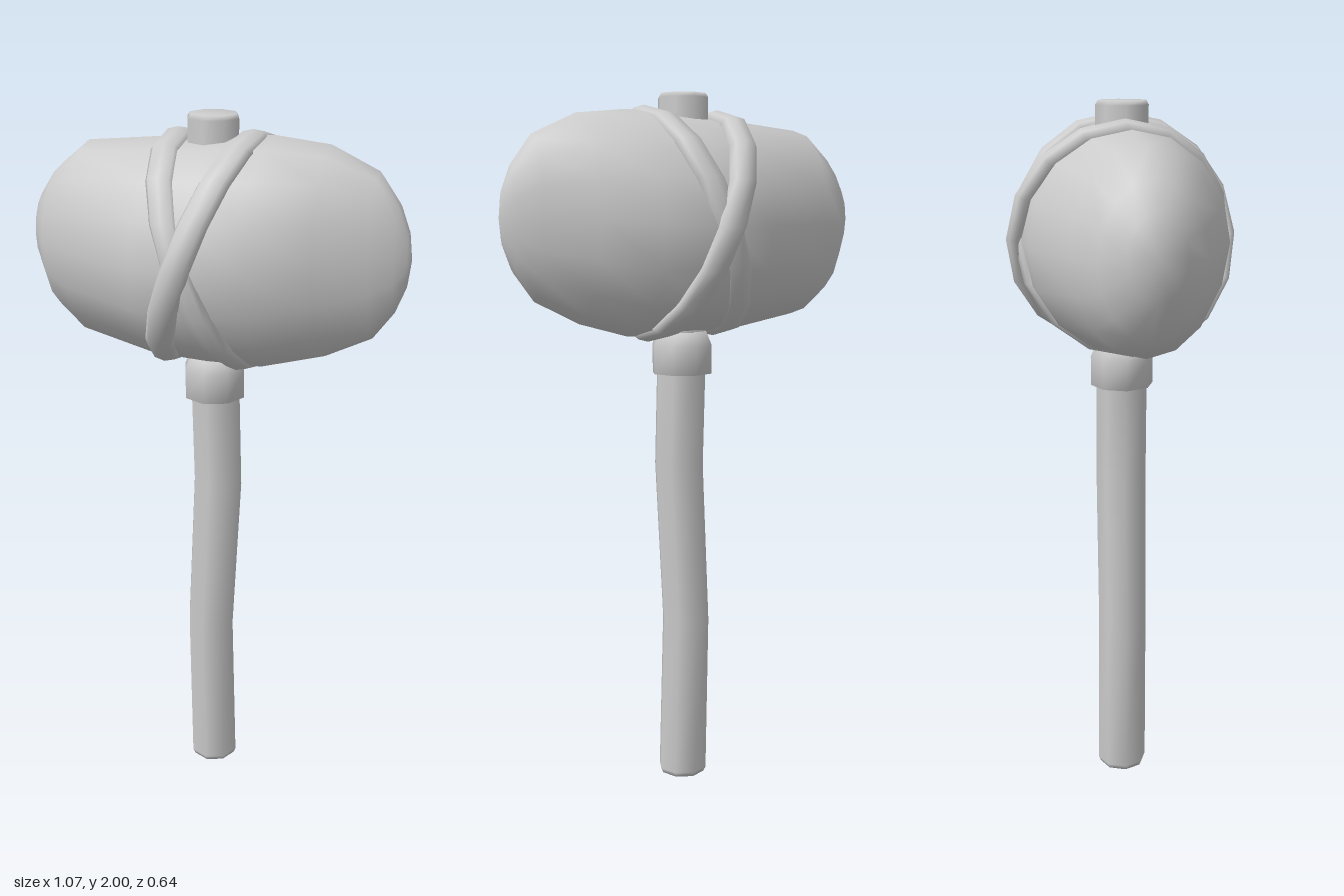
import * as THREE from 'three';
import { mergeVertices } from 'three/addons/utils/BufferGeometryUtils.js';

const material = new THREE.MeshStandardMaterial({ color: 0xcccccc });

// Smooth skin over a row of equal rings; 'closed' joins the last ring to the first.
function skin(name, rings, closed = false) {
  const n = rings[0].length, m = rings.length, index = [];
  for (let i = 0; i < (closed ? m : m - 1); i++) {
    for (let j = 0; j < n; j++) {
      const k = (j + 1) % n, next = (i + 1) % m;
      const a = i * n + j, b = i * n + k, c = next * n + k, d = next * n + j;
      index.push(a, b, c, a, c, d);
    }
  }
  let geometry = new THREE.BufferGeometry().setFromPoints(rings.flat());
  geometry.setIndex(index);
  geometry = mergeVertices(geometry, 1e-5);
  geometry.computeVertexNormals();
  const mesh = new THREE.Mesh(geometry, material);
  mesh.name = name;
  return mesh;
}

// Points around a full turn.
const turn = (sides, point) => Array.from({ length: sides }, (_, j) => {
  const t = (j / sides) * Math.PI * 2;
  return point(Math.cos(t), Math.sin(t));
});

// Octagonal upright part from rows of [centre x, y, radius].
const upright = (name, rows) => skin(name, rows.map(([x, y, r]) =>
  turn(8, (c, s) => new THREE.Vector3(x + r * c, y, -r * s))));

// Flattened cord looped round the head, leaning to one side.
function binding(name, lean, y, z) {
  const rings = turn(16, (cp, sp) => turn(8, (c, s) => new THREE.Vector3(
    -0.01 + lean * cp - 0.042 * s,
    y + (0.298 + 0.025 * c) * cp,
    z + (0.285 + 0.025 * c) * sp)));
  return skin(name, rings, true);
}

export function createModel() {
  const group = new THREE.Group();

  // Stone head, blunt on one side and wedge-shaped on the other: [x, centre y, half height, half depth]
  const head = [
    [-0.535, 1.656, 0, 0], [-0.52, 1.656, 0.11, 0.077], [-0.466, 1.64, 0.2, 0.14],
    [-0.38, 1.643, 0.267, 0.198], [-0.15, 1.633, 0.3, 0.273], [0, 1.636, 0.307, 0.286],
    [0.16, 1.64, 0.312, 0.258], [0.31, 1.653, 0.284, 0.17], [0.44, 1.656, 0.222, 0.088],
    [0.497, 1.656, 0.145, 0.047], [0.525, 1.656, 0.075, 0.02], [0.535, 1.656, 0, 0],
  ];
  group.add(skin('stoneHead', head.map(([x, y, h, d]) =>
    turn(16, (c, s) => new THREE.Vector3(x, y + h * c, d * s)))));

  // Slightly crooked handle running through the head
  group.add(upright('handle', [
    [-0.016, 0, 0], [-0.016, 0, 0.066], [-0.016, 0.015, 0.073], [-0.026, 0.48, 0.071],
    [-0.003, 0.95, 0.073], [-0.01, 1.22, 0.073], [-0.016, 1.6, 0.073],
    [-0.016, 1.988, 0.073], [-0.016, 2, 0.066], [-0.016, 2, 0],
  ]));

  // Collar under the head
  group.add(upright('collar', [
    [-0.013, 1.217, 0.06], [-0.013, 1.217, 0.089], [-0.013, 1.3, 0.089],
    [-0.013, 1.345, 0.07], [-0.013, 1.345, 0],
  ]));

  // Crossed bindings
  group.add(binding('frontBinding', 0.11, 1.643, 0.01));
  group.add(binding('backBinding', -0.11, 1.635, -0.01));
  return group;
}
